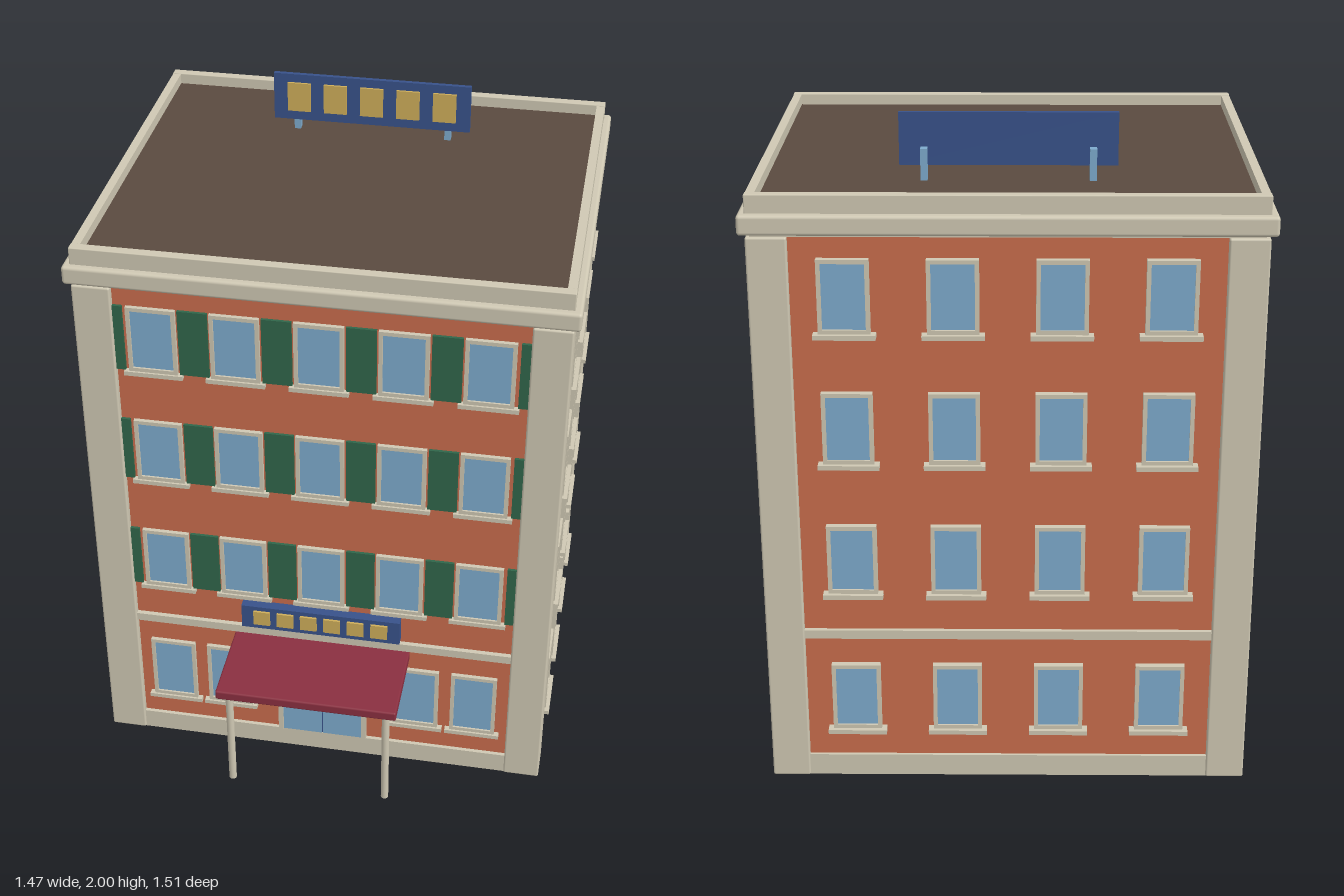
import * as THREE from 'three';
import { RoundedBoxGeometry } from 'three/addons/geometries/RoundedBoxGeometry.js';

const mat = (name, color) => {
  const m = new THREE.MeshStandardMaterial({ color });
  m.name = name;
  return m;
};

export function createModel() {
  const brick = mat('brick', 0xc96d4d);
  const stone = mat('stone', 0xcfc8b3);
  const glass = mat('glass', 0x7eabcd);
  const green = mat('shutterGreen', 0x30664a);
  const navy = mat('signBlue', 0x38528a);
  const gold = mat('signGold', 0xcfae5a);
  const roofBrown = mat('roofBrown', 0x5a4a3f);
  const maroon = mat('canopyRed', 0x8a2f40);

  const model = new THREE.Group();
  model.name = 'building';
  const CZ = -0.125; // depth centre of the main block

  // Box from its minimum and maximum on each axis; r rounds the edges
  const box = (parent, name, m, x0, x1, y0, y1, z0, z1, r = 0) => {
    const s = [x1 - x0, y1 - y0, z1 - z0];
    const geo = r ? new RoundedBoxGeometry(...s, 2, r) : new THREE.BoxGeometry(...s);
    const mesh = new THREE.Mesh(geo, m);
    mesh.position.set((x0 + x1) / 2, (y0 + y1) / 2, (z0 + z1) / 2);
    mesh.name = name;
    parent.add(mesh);
    return mesh;
  };

  // Main block: walls, plinth, string course, corner pilasters
  box(model, 'walls', brick, -0.7, 0.7, 0.03, 1.74, -0.717, 0.465);
  box(model, 'plinth', stone, -0.71, 0.71, 0, 0.07, -0.727, 0.477);
  box(model, 'stringCourse', stone, -0.712, 0.712, 0.475, 0.503, -0.73, 0.48);
  for (const sx of [-1, 1]) {
    for (const sz of [-1, 1]) {
      const x = sx * 0.661, z = CZ + sz * 0.552;
      box(model, 'cornerPilaster', stone, x - 0.057, x + 0.057, 0.001, 1.722, z - 0.058, z + 0.058, 0.006);
    }
  }

  // Cornice, parapet and flat roof
  box(model, 'corniceFascia', stone, -0.705, 0.705, 1.722, 1.74, CZ - 0.6, CZ + 0.6);
  box(model, 'cornice', stone, -0.737, 0.737, 1.732, 1.79, CZ - 0.63, CZ + 0.627, 0.01);
  box(model, 'roof', roofBrown, -0.7, 0.7, 1.78, 1.808, CZ - 0.59, CZ + 0.59);
  for (const s of [-1, 1]) {
    const z = CZ + s * 0.592, x = s * 0.702;
    box(model, 'parapetLong', stone, -0.716, 0.716, 1.785, 1.843, z - 0.015, z + 0.015, 0.003);
    box(model, 'parapetSide', stone, x - 0.013, x + 0.013, 1.785, 1.84, CZ - 0.58, CZ + 0.58);
  }

  // A window in the local frame of a wall whose surface is z = 0
  const addWindow = (wall, x, y0, y1, depth, sillDepth) => {
    const w = new THREE.Group();
    w.name = 'window';
    wall.add(w);
    const h = 0.073, t = 0.012;
    box(w, 'pane', glass, x - h + t, x + h - t, y0 + t, y1 - t, 0, depth - 0.006);
    for (const s of [-1, 1]) {
      const jx = x + s * (h - t / 2);
      box(w, 'jamb', stone, jx - t / 2, jx + t / 2, y0, y1, 0, depth);
    }
    box(w, 'head', stone, x - h + t, x + h - t, y1 - t, y1, 0, depth);
    box(w, 'bottomRail', stone, x - h + t, x + h - t, y0, y0 + t, 0, depth);
    box(w, 'sill', stone, x - 0.088, x + 0.088, y0 - 0.014, y0, 0, sillDepth);
  };

  const wallGroup = (name, x, z, turn) => {
    const g = new THREE.Group();
    g.name = name;
    g.position.set(x, 0, z);
    g.rotation.y = turn;
    model.add(g);
    return g;
  };
  const upperFloors = [[0.63, 0.848], [1.047, 1.264], [1.443, 1.66]];
  const allFloors = [[0.17, 0.388], ...upperFloors];

  // Side and back walls: four columns on four floors
  const plainWalls = [
    ['leftWall', 0.7, CZ, Math.PI / 2, 0.258],
    ['rightWall', -0.7, CZ, -Math.PI / 2, 0.258],
    ['backWall', 0, -0.717, Math.PI, 0.303],
  ];
  for (const [name, x, z, turn, step] of plainWalls) {
    const wall = wallGroup(name, x, z, turn);
    for (const [y0, y1] of allFloors) {
      for (let i = 0; i < 4; i++) addWindow(wall, (i - 1.5) * step, y0, y1, 0.02, 0.032);
    }
  }

  // Front wall: five columns with shutters between them
  const front = wallGroup('frontWall', 0, 0.465, 0);
  for (const [y0, y1] of upperFloors) {
    for (let i = -2; i <= 2; i++) addWindow(front, i * 0.246, y0, y1, 0.013, 0.019);
    for (let i = -1.5; i <= 1.5; i++) {
      box(front, 'shutter', green, i * 0.246 - 0.044, i * 0.246 + 0.044, y0, y1, 0, 0.009);
    }
    for (const s of [-1, 1]) {
      box(front, 'endShutter', green, s * 0.593 - 0.017, s * 0.593 + 0.017, y0, y1, 0, 0.009);
    }
  }
  for (const x of [-0.492, -0.306, 0.306, 0.492]) addWindow(front, x, 0.16, 0.395, 0.013, 0.019);

  // Glazed double door with stone frame
  for (const s of [-1, 1]) {
    const dx = s * 0.066, jx = s * 0.138;
    box(front, 'doorLeaf', glass, dx - 0.0645, dx + 0.0645, 0.07, 0.424, 0, 0.012);
    box(front, 'doorJamb', stone, jx - 0.008, jx + 0.008, 0.07, 0.436, 0, 0.018);
  }
  box(front, 'doorHead', stone, -0.13, 0.13, 0.424, 0.436, 0, 0.018);
  box(front, 'doorGap', navy, -0.0015, 0.0015, 0.07, 0.424, 0, 0.01);

  // Entrance canopy on two posts
  box(model, 'canopy', maroon, -0.283, 0.283, 0.435, 0.467, 0.465, 0.755, 0.006);
  for (const x of [-0.247, 0.247]) {
    const post = new THREE.Mesh(new THREE.CylinderGeometry(0.012, 0.012, 0.367, 16), stone);
    post.position.set(x, 0.2535, 0.72);
    post.name = 'canopyPost';
    model.add(post);
  }

  // Blue sign board with a row of plain gold panels
  const addSign = (name, half, y0, y1, z0, z1, count, step, panelW, p0, p1) => {
    const sign = new THREE.Group();
    sign.name = name;
    model.add(sign);
    box(sign, 'board', navy, -half, half, y0, y1, z0, z1);
    for (let i = 0; i < count; i++) {
      const x = (i - (count - 1) / 2) * step;
      box(sign, 'panel', gold, x - panelW / 2, x + panelW / 2, p0, p1, z1, z1 + 0.007);
    }
    return sign;
  };
  addSign('entranceSign', 0.253, 0.516, 0.602, 0.465, 0.496, 6, 0.075, 0.053, 0.535, 0.587);
  const roofSign = addSign('roofSign', 0.311, 1.847, 2, -0.44, -0.426, 5, 0.115, 0.073, 1.878, 1.973);
  for (const x of [-0.24, 0.24]) {
    box(roofSign, 'signPost', glass, x - 0.01, x + 0.01, 1.805, 1.9, -0.464, -0.44);
  }

  return model;
}
